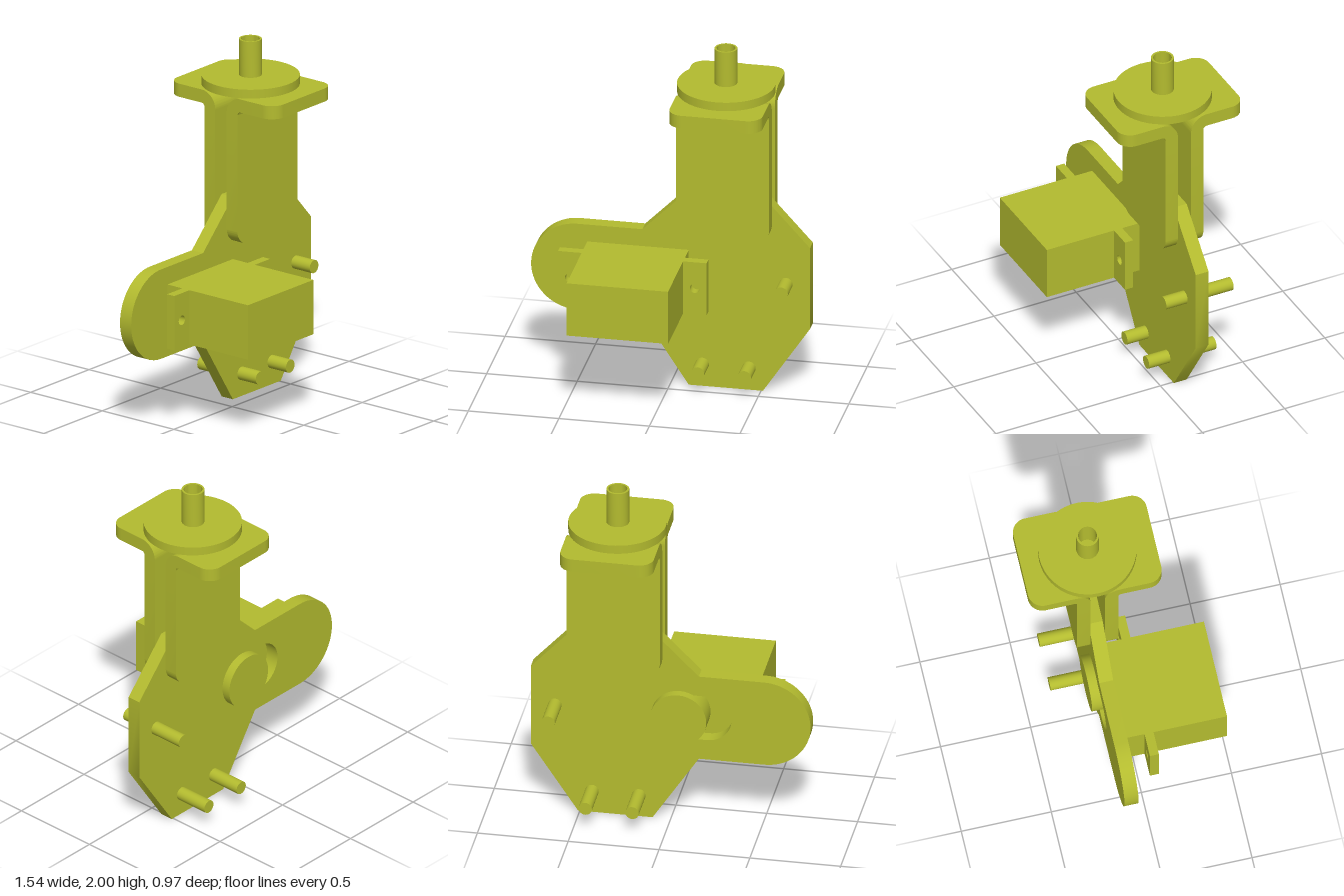
import * as THREE from 'three';
import { toCreasedNormals } from 'three/addons/utils/BufferGeometryUtils.js';

const material = new THREE.MeshStandardMaterial({ color: 0xb3bb2f });

function add(parent, name, geometry, x = 0, y = 0, z = 0) {
  const mesh = new THREE.Mesh(geometry, material);
  mesh.name = name;
  mesh.position.set(x, y, z);
  parent.add(mesh);
  return mesh;
}

const extrude = (shape, depth, curveSegments = 12) => toCreasedNormals(
  new THREE.ExtrudeGeometry(shape, { depth, bevelEnabled: false, curveSegments }), 0.6);

// Round bar along z between two z values
function barZ(parent, name, r, x, y, z0, z1, segments) {
  const g = new THREE.CylinderGeometry(r, r, z1 - z0, segments).rotateX(Math.PI / 2);
  return add(parent, name, g, x, y, (z0 + z1) / 2);
}

function circleHole(x, y, r) {
  const p = new THREE.Path();
  p.absarc(x, y, r, 0, Math.PI * 2, true);
  return p;
}

// Strip hanging down from y = 0, with its two lower corners rounded
function tabShape(w, length, r) {
  const s = new THREE.Shape();
  s.moveTo(w, 0);
  s.lineTo(-w, 0);
  s.lineTo(-w, r - length);
  s.absarc(r - w, r - length, r, Math.PI, Math.PI * 1.5, false);
  s.absarc(w - r, r - length, r, Math.PI * 1.5, Math.PI * 2, false);
  s.closePath();
  return s;
}

// Bent bracket: upright leg, curved bend, outward flange
function bracket() {
  const g = new THREE.Group();
  g.name = 'angleBracket';
  const w = 0.257, t = 0.075, gap = 0.04, rIn = 0.02, bendY = 1.65;
  const bendZ = gap + t + rIn;
  add(g, 'bracketLeg', extrude(tabShape(w, bendY - 0.9, 0.09), t), 0, bendY, gap);
  add(g, 'bracketFlange', extrude(tabShape(w, 0.235, 0.08), t).rotateX(-Math.PI / 2),
    0, bendY + rIn, bendZ);
  const bend = new THREE.Shape();
  bend.absarc(0, 0, rIn + t, Math.PI / 2, Math.PI, false);
  bend.absarc(0, 0, rIn, Math.PI, Math.PI / 2, true);
  bend.closePath();
  add(g, 'bracketBend', extrude(bend, 2 * w).rotateY(-Math.PI / 2), w, bendY, bendZ);
  return g;
}

export function createModel() {
  const model = new THREE.Group();
  model.name = 'servoBracketAssembly';
  const armY = 0.645, back = -0.155, front = -0.077;

  // Main plate with rounded arm and slot
  const plate = new THREE.Shape();
  plate.moveTo(0.1, 0);
  [[0.51, 0], [0.77, 0.39], [0.77, 0.87], [0.51, 1.155], [0.1, 1.155], [-0.155, 0.9]]
    .forEach(([x, y]) => plate.lineTo(x, y));
  plate.absarc(-0.515, armY, 0.255, Math.PI / 2, Math.PI * 1.5, false);
  plate.lineTo(-0.155, 0.39);
  plate.closePath();
  const slot = new THREE.Path();
  slot.absarc(-0.05, armY, 0.135, -Math.PI / 2, Math.PI / 2, false);
  slot.absarc(-0.2, armY, 0.135, Math.PI / 2, Math.PI * 1.5, false);
  slot.closePath();
  plate.holes.push(slot);
  add(model, 'mainPlate', extrude(plate, front - back, 20), 0, 0, back);

  // Servo box, drilled mounting ears and output disc
  const servo = new THREE.Group();
  servo.name = 'servo';
  model.add(servo);
  add(servo, 'servoBody', new THREE.BoxGeometry(0.56, 0.31, 0.485 - front),
    -0.18, armY, (0.485 + front) / 2);
  for (const [x0, x1, holeX] of [[-0.59, -0.46, -0.525], [0.1, 0.23, 0.165]]) {
    const ear = new THREE.Shape();
    ear.moveTo(x0, 0.49);
    ear.lineTo(x1, 0.49);
    ear.lineTo(x1, 0.8);
    ear.lineTo(x0, 0.8);
    ear.closePath();
    ear.holes.push(circleHole(holeX, armY, 0.027));
    add(servo, 'servoEar', extrude(ear, 0.05), 0, 0, 0.027);
  }
  barZ(servo, 'outputDisc', 0.155, -0.05, armY, -0.205, front, 40);

  // Pins through the plate
  for (const [x, y] of [[0.637, armY], [0.175, 0.13], [0.433, 0.13]])
    barZ(model, 'pin', 0.037, x, y, -0.357, 0.052, 24);

  // Pair of back-to-back brackets and the hollow shaft on its disc
  const mast = new THREE.Group();
  mast.name = 'mast';
  mast.position.set(0.303, 0, -0.116);
  model.add(mast);
  for (const turn of [0, Math.PI]) {
    const b = bracket();
    b.rotation.y = turn;
    mast.add(b);
  }
  add(mast, 'topDisc', new THREE.CylinderGeometry(0.267, 0.267, 0.05, 48), -0.003, 1.77, 0);
  const tube = new THREE.Shape();
  tube.absarc(0, 0, 0.062, 0, Math.PI * 2, false);
  tube.holes.push(circleHole(0, 0, 0.051));
  add(mast, 'hollowShaft', extrude(tube, 0.205, 16).rotateX(-Math.PI / 2), -0.005, 1.795, 0);

  return model;
}
